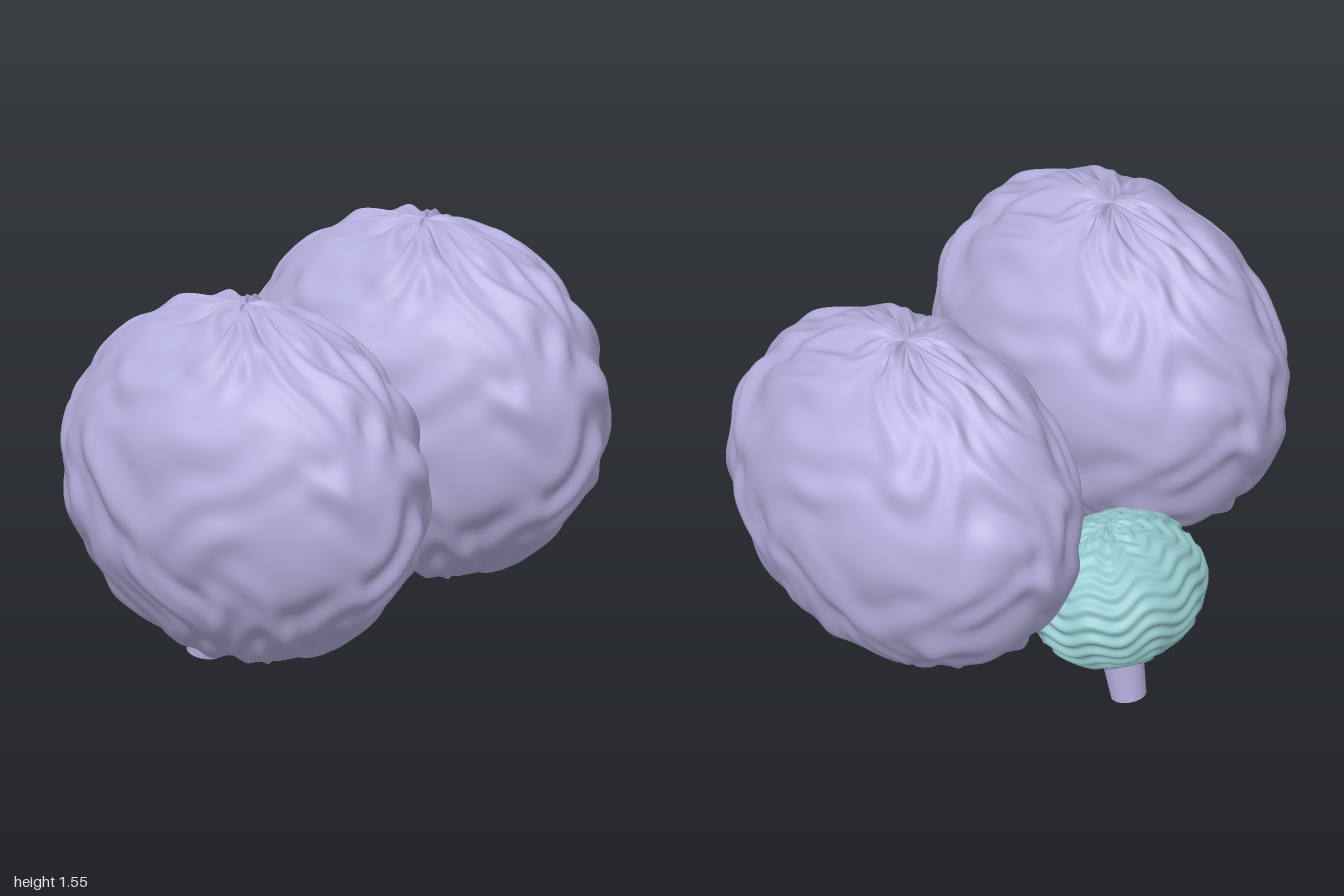
import * as THREE from 'three';
import { mergeVertices } from 'three/addons/utils/BufferGeometryUtils.js';

const { sin, cos, atan2, acos } = Math;

// Sphere stretched to the given radii, with relief(azimuth, polar) pushed along each ray
function foldedEllipsoid(rx, ry, rz, relief, segW, segH) {
  const sphere = new THREE.SphereGeometry(1, segW, segH);
  sphere.deleteAttribute('uv');
  sphere.deleteAttribute('normal');
  const geo = mergeVertices(sphere, 1e-5);
  const p = geo.attributes.position;
  const v = new THREE.Vector3();
  for (let i = 0; i < p.count; i++) {
    v.fromBufferAttribute(p, i).normalize();
    const polar = acos(THREE.MathUtils.clamp(v.y, -1, 1));
    const pole = Math.min(1, sin(polar) * 8);
    const k = 1 + relief(atan2(v.z, v.x), polar) * pole;
    p.setXYZ(i, v.x * rx * k, v.y * ry * k, v.z * rz * k);
  }
  geo.computeVertexNormals();
  return geo;
}

// Irregular winding folds that pinch together at the poles
function cortexFolds(a, t) {
  const wa = a + 0.22 * sin(3 * t + 2 * a) + 0.1 * sin(7 * t - 3 * a + 1);
  const wt = t + 0.13 * sin(5 * a + 1.3) + 0.07 * sin(9 * a + 4 * t);
  return 0.011 * sin(11 * wt + 3 * wa)
    + 0.011 * sin(9 * wa + 5 * wt + 0.7)
    + 0.009 * sin(13 * wa - 9 * wt + 2.1)
    + 0.008 * sin(17 * wt - 5 * wa + 4)
    + 0.004 * sin(22 * wa + 8 * wt);
}

// Stacked wavy ridges
function leafRidges(a, t) {
  const w = t + 0.07 * sin(9 * a) + 0.04 * sin(5 * a + 1.7);
  return 0.022 * sin(27 * w) + 0.009 * sin(7 * a + 4 * t);
}

export function createModel() {
  const model = new THREE.Group();
  const lavender = new THREE.MeshStandardMaterial({ color: 0xb4b0dd });
  lavender.name = 'lavender';
  const teal = new THREE.MeshStandardMaterial({ color: 0x96c9cd });
  teal.name = 'teal';

  const add = (name, geometry, material, x, y, z, tilt = 0) => {
    const mesh = new THREE.Mesh(geometry, material);
    mesh.name = name;
    mesh.position.set(x, y, z);
    mesh.rotation.x = tilt;
    model.add(mesh);
  };

  // Two cerebral hemispheres
  const hemisphere = foldedEllipsoid(0.47, 0.627, 0.685, cortexFolds, 200, 140);
  add('leftHemisphere', hemisphere, lavender, 0.517, 0.91, 0.035);
  add('rightHemisphere', hemisphere, lavender, -0.517, 0.91, 0.035);

  // Cerebellum tucked under the back
  const cerebellum = foldedEllipsoid(0.325, 0.25, 0.285, leafRidges, 128, 120);
  add('cerebellum', cerebellum, teal, 0, 0.435, -0.46, 0.2);

  // Tapered stem, leaning backward toward its foot
  const stem = new THREE.CylinderGeometry(0.09, 0.061, 0.4, 32);
  add('brainStem', stem, lavender, 0, 0.208, -0.476, 0.19);

  return model;
}
